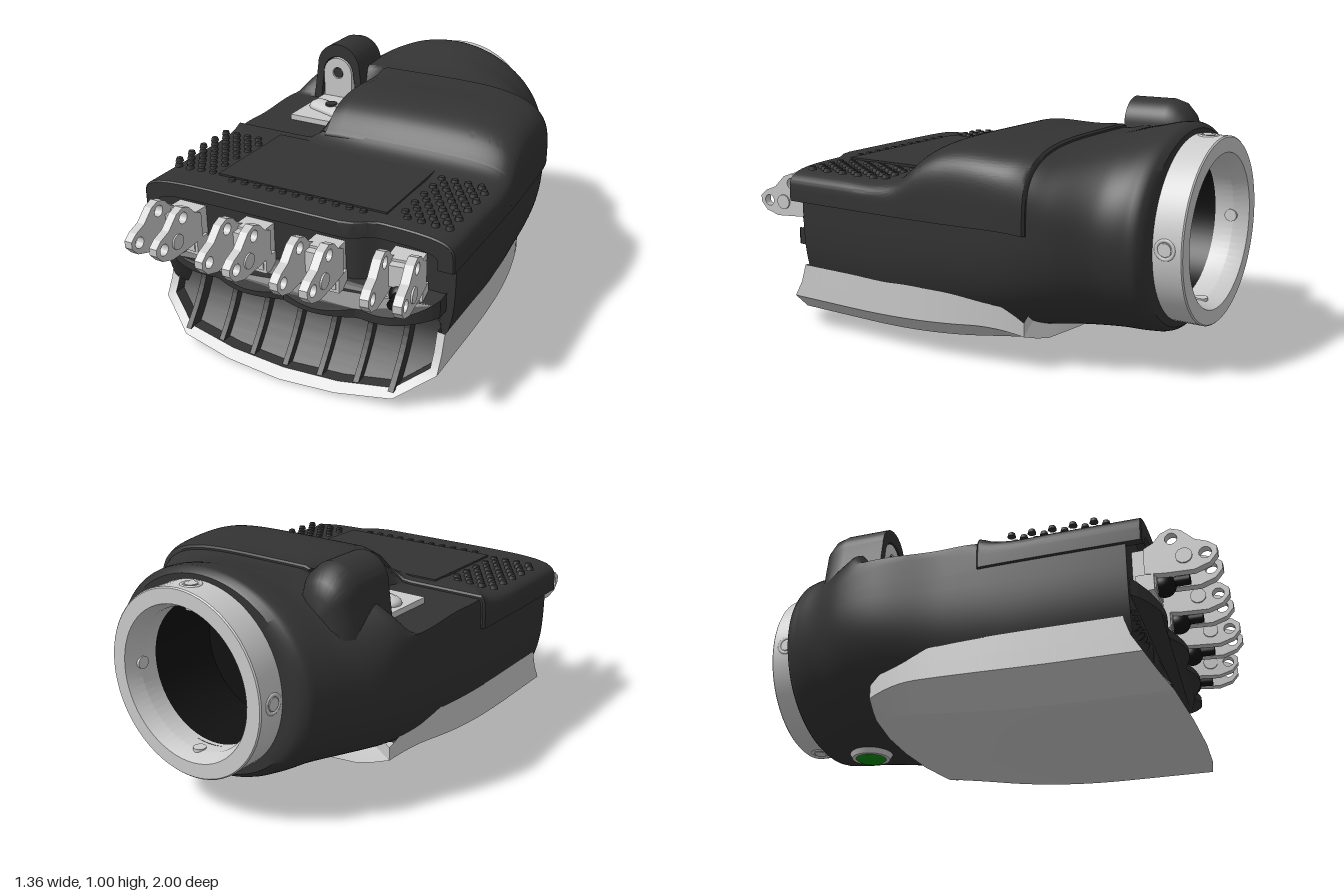
import * as THREE from 'three';
import { mergeGeometries, mergeVertices, toCreasedNormals } from 'three/addons/utils/BufferGeometryUtils.js';

const mat = (color) => new THREE.MeshStandardMaterial({ color, side: THREE.DoubleSide });
const dark = mat(0x333333), black = mat(0x111111), grey = mat(0xcccccc), green = mat(0x078a0c);
const ss = THREE.MathUtils.smoothstep, lerp = THREE.MathUtils.lerp, clamp = THREE.MathUtils.clamp;

function add(parent, name, geometry, material, x = 0, y = 0, z = 0) {
  const mesh = new THREE.Mesh(geometry, material);
  mesh.name = name;
  mesh.position.set(x, y, z);
  parent.add(mesh);
  return mesh;
}

// Surface from a grid of points: fn(i, j) returns [x, y, z]
function grid(rows, cols, fn, crease = 0.6) {
  const pos = [], idx = [];
  for (let i = 0; i < rows; i++) for (let j = 0; j < cols; j++) {
    pos.push(...fn(i, j));
    if (i < rows - 1 && j < cols - 1) {
      const a = i * cols + j, b = a + cols;
      idx.push(a, a + 1, b, a + 1, b + 1, b);
    }
  }
  const g = new THREE.BufferGeometry();
  g.setAttribute('position', new THREE.Float32BufferAttribute(pos, 3));
  g.setIndex(idx);
  return toCreasedNormals(mergeVertices(g, 1e-4), crease);
}

// Flat outline with optional round holes [x, y, r], extruded
function plate(points, depth, holes = []) {
  const s = new THREE.Shape(points.map((p) => new THREE.Vector2(...p)));
  for (const [x, y, r] of holes) s.holes.push(new THREE.Path().absarc(x, y, r, 0, Math.PI * 2, true));
  return new THREE.ExtrudeGeometry(s, { depth, bevelEnabled: false, curveSegments: 16 });
}

// Palm sections: z, left half width, right half width, bottom, middle, top, lower and upper exponents
const sections = [
  [-0.88, 0.45, 0.45, 0.14, 0.54, 0.94, 2, 2],
  [-0.865, 0.48, 0.48, 0.125, 0.54, 0.957, 2, 2],
  [-0.82, 0.505, 0.495, 0.12, 0.54, 0.96, 2.1, 2.1],
  [-0.7, 0.56, 0.53, 0.122, 0.55, 0.935, 2.2, 2.2],
  [-0.55, 0.635, 0.6, 0.125, 0.57, 0.9, 2.5, 3],
  [-0.4, 0.665, 0.64, 0.11, 0.59, 0.89, 2.8, 4.8],
  [-0.1, 0.65, 0.658, 0.06, 0.59, 0.885, 3, 5.4],
  [0, 0.655, 0.662, 0.05, 0.59, 0.845, 3.1, 5.5],
  [0.11, 0.66, 0.665, 0.045, 0.59, 0.745, 3.2, 5.7],
  [0.2, 0.662, 0.666, 0.042, 0.59, 0.717, 3.3, 6],
  [0.4, 0.664, 0.666, 0.04, 0.59, 0.715, 3.3, 6],
  [0.75, 0.664, 0.666, 0.04, 0.59, 0.715, 3.3, 6],
];
const table = new THREE.CubicInterpolant(sections.map((s) => s[0]), sections.flatMap((s) => s.slice(1)), 7);

function surface(angle, z, offset = 0, scale = 1) {
  const [l, r, bottom, mid, top, nLow, nTop] = table.evaluate(z);
  const c = Math.cos(angle), s = Math.sin(angle), n = s < 0 ? nLow : nTop;
  const power = (v) => Math.sign(v) * Math.abs(v) ** (2 / n);
  const x = ((c < 0 ? l : r) + offset) * power(c) * scale;
  let y = mid + ((s < 0 ? mid - bottom : top - mid) + offset) * power(s) * scale;
  // Lowered thumb bay
  const bay = (1 - ss(x, -0.29, -0.17)) * ss(z, -0.52, -0.41), limit = 0.715 + offset;
  if (y > limit) y = lerp(y, limit, bay);
  // Stepped front edge, recessed below the knuckles
  const step = 0.06 * ss(x, 0.25, 0.38) * ss(z, 0.5, 0.7);
  const recess = 0.1 * (1 - ss(y, 0.3, 0.36)) * (1 - ss(Math.abs(x), 0.55, 0.62)) * ss(z, 0.45, 0.67);
  return [x, y, z - step - recess];
}

// Cover piece between two depths, from the right edge to the given left reach, edges folded in
function coverPiece(z0, z1, reachX) {
  const rows = [[z0 - 0.008, -0.03], [z0 - 0.008, 0.008]];
  for (let i = 0; i <= 40; i++) rows.push([lerp(z0, z1, i / 40), 0.016]);
  rows.push([z1 + 0.005, 0.01], [z1 + 0.005, -0.05]);
  return grid(rows.length, 83, (i, j) => {
    const [z, off] = rows[i], [l, , , , , , n] = table.evaluate(z);
    const end = Math.PI - Math.acos(Math.min(1, reachX / l) ** (n / 2));
    return surface(clamp((j - 1) / 80, 0, 1) * end, z, j === 0 || j === 82 ? Math.min(off, -0.02) : off);
  });
}

// Lower shell
const side = [[0.64, 0.3], [0.64, 0.22], [0.64, 0.15], [0.565, 0.097], [0.49, 0.045], [0.25, 0.012], [0, 0]];
const inner = [[0.605, 0.3], [0.605, 0.22], [0.605, 0.165], [0.543, 0.12], [0.48, 0.075], [0.25, 0.045], [0, 0.035]];
const around = (pts) => [...pts.map(([x, y]) => [-x, y]), ...pts.slice(0, -1).reverse()];
const frontZ = (y) => 0.64 + 0.19 * (1 - Math.min(y, 0.3) / 0.3) ** 1.5;
function shellPoint([x, y], t) {
  const z = lerp(-0.5 + 0.08 * (x / 0.645) ** 2, frontZ(y), t);
  const s = Math.max(0, (0.4 - z) / 0.9);
  const low = 0.11 * s * s, high = 0.3 - 0.17 * (Math.max(0, -0.2 - z) / 0.3) ** 2;
  return [x * (1 - 0.2 * s ** 3), low + (y / 0.3) * (high - low), z];
}
// Back edge of the shell, tucked into the palm
function shellTuck(point) {
  const [x, y, z] = shellPoint(point, 0);
  return [x * 0.8, y + 0.06, z + 0.01];
}

function finger(x, z, yaw) {
  const g = new THREE.Group();
  g.name = 'knuckleBracket';
  g.position.set(x, 0.55, z);
  g.rotation.y = yaw;
  const outline = [[0, -0.05], [0.08, -0.06], [0.19, -0.065], [0.25, -0.045], [0.28, -0.01], [0.28, 0.02], [0.25, 0.045],
    [0.2, 0.065], [0.15, 0.115], [0.11, 0.13], [0.07, 0.115], [0.04, 0.08], [0, 0.06]];
  for (const sx of [-1, 1]) {
    const cheek = plate(outline, 0.036, [[0.11, 0.085, 0.024], [0.235, 0, 0.024]]).rotateY(-Math.PI / 2);
    add(g, 'cheekPlate', cheek, grey, sx * 0.062 + 0.018);
    add(g, 'pivotBoss', new THREE.CylinderGeometry(0.032, 0.032, 0.01, 20).rotateZ(Math.PI / 2), grey, sx * 0.082, 0, 0.155);
  }
  add(g, 'mountBlock', new THREE.BoxGeometry(0.13, 0.17, 0.1), grey, 0, -0.02, -0.01);
  add(g, 'mountFoot', new THREE.BoxGeometry(0.155, 0.07, 0.07), grey, 0, -0.085, 0);
  add(g, 'crossBlock', new THREE.BoxGeometry(0.09, 0.09, 0.05), grey, 0, 0.01, 0.05);
  add(g, 'linkBall', new THREE.SphereGeometry(0.046, 24, 16), black, 0, -0.07, 0.06);
  add(g, 'linkRod', new THREE.CylinderGeometry(0.02, 0.02, 0.14, 16).rotateX(Math.PI / 2), black, 0, -0.06, 0.09);
  return g;
}

export function createModel() {
  const model = new THREE.Group();
  model.name = 'palm';

  // Palm body, open around the wrist socket and closed at the front
  const rows = [[-0.88, 0.72], [-0.88, 0.92]];
  for (let i = 0; i <= 90; i++) rows.push([-0.88 + (1.55 * i) / 90, 1]);
  for (let i = 19; i >= 0; i--) rows.push([0.67, i / 20]);
  add(model, 'palmBody', grid(rows.length, 145, (i, j) => surface((j / 144) * Math.PI * 2, rows[i][0], 0, rows[i][1])), dark);

  // Back cover: hump beside the thumb bay and full-width front
  add(model, 'coverHump', coverPiece(-0.47, 0.09, 0.19), dark);
  add(model, 'coverFront', coverPiece(0.08, 0.73, 1), dark);
  add(model, 'coverPanel', new THREE.BoxGeometry(0.77, 0.02, 0.47), dark, -0.015, 0.728, 0.365);

  // Grip bumps on the cover
  const bumps = [];
  const bump = (x, z) => bumps.push(new THREE.CylinderGeometry(0.013, 0.018, 0.016, 8).translate(x, 0.731, z));
  for (let r = 0; r < 10; r++) for (let c = 0; c < 4; c++) {
    const z = 0.21 + r * 0.042, x = c * 0.058 + (r % 2) * 0.029;
    bump(-0.64 + x, z);
    bump(0.42 + x, z);
  }
  for (let i = 0; i < 11; i++) bump(-0.32 + i * 0.06, 0.62);
  add(model, 'gripBumps', mergeGeometries(bumps), dark);

  // Thumb hood: arch section with flared feet, a rounded tail and a recessed mouth
  const hood = [[-0.715, 0, 0.8], [-0.71, 0.05, 0.89], [-0.69, 0.085, 0.945], [-0.65, 0.108, 0.985], [-0.6, 0.113, 1],
    [-0.415, 0.113, 1], [-0.415, 0.08, 0.94], [-0.455, 0.08, 0.94], [-0.455, 0, 0.8]];
  add(model, 'thumbHood', grid(hood.length, 37, (i, j) => {
    const [z, w, top] = hood[i], a = clamp((j - 2) / 32, 0, 1) * Math.PI;
    const foot = Math.max(0, 2 - j, j - 34);
    return [-0.41 + w * Math.cos(a) * (1 + 0.12 * foot), foot === 2 ? 0.7 : lerp(top - w + w * Math.sin(a), 0.79, foot), z];
  }, 0.9), dark);

  // Thumb bracket in the bay
  const thumb = new THREE.Group();
  thumb.name = 'thumbBracket';
  model.add(thumb);
  const arch = [[-0.075, -0.14], [0.075, -0.14]];
  for (let i = 0; i <= 12; i++) arch.push([0.075 * Math.cos((i / 12) * Math.PI), 0.075 * Math.sin((i / 12) * Math.PI)]);
  add(thumb, 'uprightPlate', plate(arch, 0.03, [[0, 0, 0.028]]), grey, -0.415, 0.857, -0.447);
  add(thumb, 'pivotPin', new THREE.CylinderGeometry(0.024, 0.024, 0.02, 20).rotateX(Math.PI / 2), dark, -0.415, 0.857, -0.432);
  add(thumb, 'basePlate', new THREE.BoxGeometry(0.27, 0.05, 0.31), grey, -0.355, 0.715, -0.255);
  add(thumb, 'sideBlock', new THREE.BoxGeometry(0.08, 0.06, 0.2), grey, -0.27, 0.75, -0.3);
  const lever = add(thumb, 'lever', new THREE.CapsuleGeometry(0.05, 0.13, 6, 16).rotateZ(Math.PI / 2), grey, -0.36, 0.745, -0.23);
  lever.scale.y = 0.6;
  lever.rotation.y = -0.35;
  add(thumb, 'leverPin', new THREE.CylinderGeometry(0.028, 0.028, 0.01, 20), dark, -0.34, 0.777, -0.22);

  // Lower shell with a rim, and the dark liner inside it
  const outer = around(side), lining = around(inner);
  add(model, 'lowerShell', grid(34, outer.length, (i, j) =>
    i === 0 ? shellTuck(outer[j]) : i === 33 ? shellPoint(lining[j], 0.995) : shellPoint(outer[j], (i - 1) / 31), 0.35), grey);
  add(model, 'shellLiner', grid(20, lining.length, (i, j) => shellPoint(lining[j], 0.2 + (0.795 * i) / 19), 0.35), dark);

  // Curved panel and ribs across the front opening
  const panelRows = [[0, 0.035], [0.25, 0.047], [0.48, 0.077], [0.54, 0.12], [0.6, 0.165], [0.605, 0.22], [0.605, 0.28], [0.605, 0.34]];
  add(model, 'frontPanel', grid(panelRows.length, 2, (i, j) => {
    const [w, y] = panelRows[i];
    return [j ? -w : w, y, frontZ(y) - 0.055];
  }), dark);
  const ribOutline = [];
  for (let i = 0; i <= 10; i++) ribOutline.push([frontZ(0.04 + 0.03 * i) - 0.012, 0.04 + 0.03 * i]);
  ribOutline.push([0.54, 0.34], [0.54, 0.04]);
  for (let i = -3; i <= 3; i++) {
    add(model, 'frontRib', plate(ribOutline, 0.024).rotateY(-Math.PI / 2), dark, i * 0.16 + 0.012, Math.abs(i) === 3 ? 0.03 : 0);
  }

  // Scalloped lip under the knuckles, a wedge thinning to the front
  const lip = [[-0.63, 0.55]];
  for (let i = 0; i <= 60; i++) {
    const x = -0.63 + 0.021 * i;
    lip.push([x, 0.64 + 0.13 * Math.sqrt(Math.max(0, 1 - (x / 0.64) ** 2)) + 0.04 * Math.abs(Math.sin((x * Math.PI) / 0.325))]);
  }
  lip.push([0.63, 0.55]);
  const lipGeo = plate(lip, 0.08).rotateX(Math.PI / 2);
  const p = lipGeo.attributes.position;
  for (let i = 0; i < p.count; i++) {
    const d = Math.max(0, p.getZ(i) - 0.64), rise = 0.06 * (p.getX(i) / 0.63) ** 4;
    p.setY(i, rise + (p.getY(i) > -0.04 ? 0.41 - 0.25 * d : 0.325 + 0.14 * d));
  }
  lipGeo.computeVertexNormals();
  add(model, 'knuckleLip', lipGeo, dark);

  // Four knuckle brackets
  for (const [x, z, yaw] of [[-0.49, 0.72, -0.03], [-0.16, 0.72, 0], [0.165, 0.72, 0.03], [0.485, 0.665, 0.12]]) model.add(finger(x, z, yaw));

  // Wrist ring, socket and screws
  const wrist = new THREE.Group();
  wrist.name = 'wrist';
  wrist.position.y = 0.54;
  model.add(wrist);
  const lathe = (pts) => toCreasedNormals(new THREE.LatheGeometry(pts.map((q) => new THREE.Vector2(...q)), 64).rotateX(Math.PI / 2), 0.4);
  add(wrist, 'wristRing', lathe([[0.29, -0.86], [0.29, -0.94], [0.315, -1], [0.375, -1], [0.38, -0.995], [0.38, -0.86]]), grey);
  add(wrist, 'wristSocket', lathe([[0, -0.55], [0.289, -0.55], [0.291, -0.88], [0.34, -0.88]]), black);
  for (let i = 0; i < 4; i++) {
    const screw = new THREE.Group();
    screw.name = 'ringScrew';
    screw.rotation.z = (i * Math.PI) / 2;
    add(screw, 'screwCollar', new THREE.TorusGeometry(0.036, 0.009, 8, 24).rotateY(Math.PI / 2), grey, 0.374, 0, -0.93);
    add(screw, 'screwPin', new THREE.CylinderGeometry(0.026, 0.026, 0.1, 20).rotateZ(Math.PI / 2), grey, 0.333, 0, -0.93);
    wrist.add(screw);
  }

  // Button underneath
  add(model, 'buttonRim', new THREE.CylinderGeometry(0.1, 0.085, 0.03, 32), grey, 0, 0.118, -0.67);
  add(model, 'button', new THREE.SphereGeometry(0.07, 32, 16).scale(1, 0.35, 1), green, 0, 0.108, -0.67);
  return model;
}
